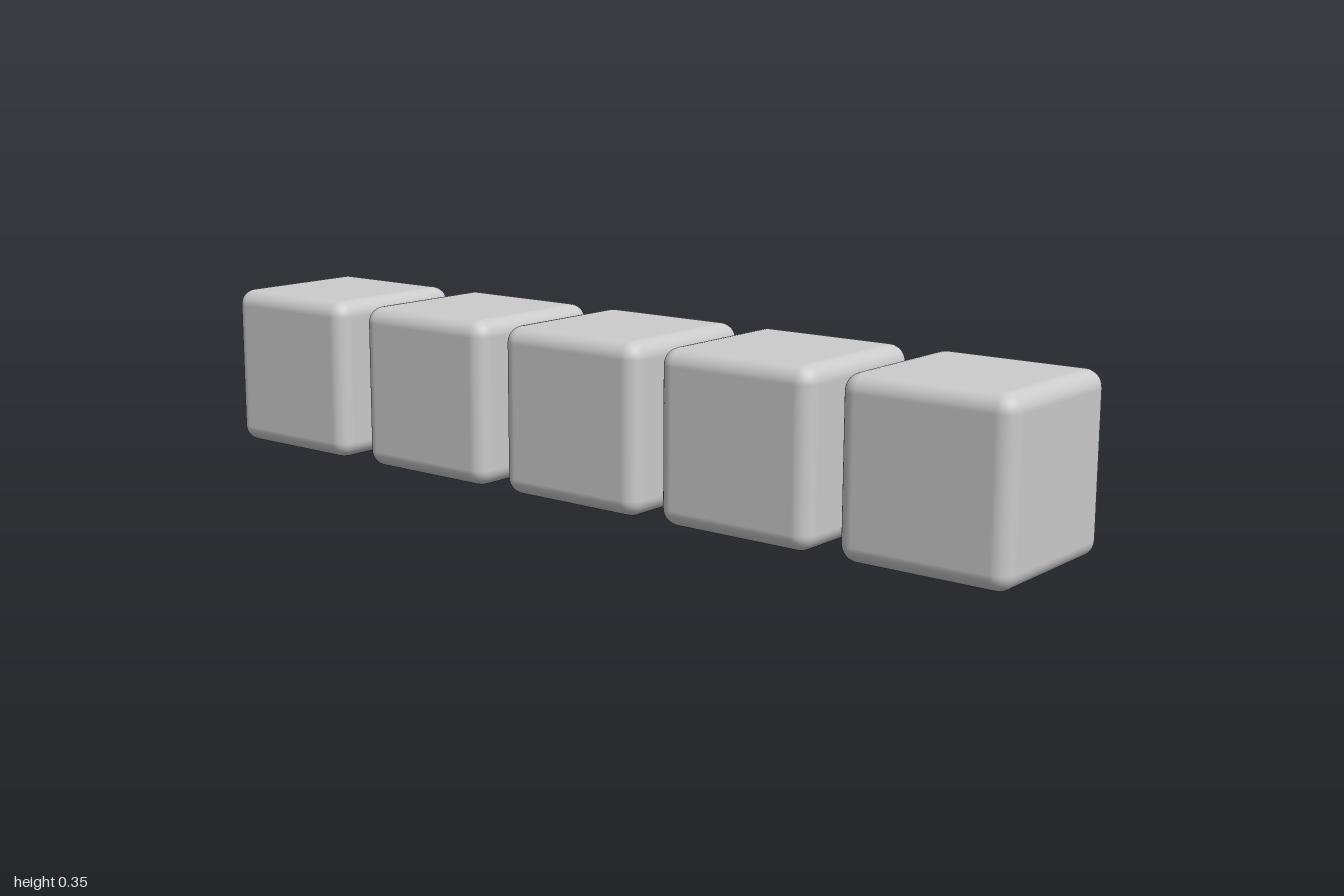
import * as THREE from 'three';
import { RoundedBoxGeometry } from 'three/addons/geometries/RoundedBoxGeometry.js';

const SIZE = 0.352;
const RADIUS = 0.035;
// Slightly uneven spacing along the row, from right (-x) to left (+x)
const CENTRES = [-0.824, -0.402, 0.006, 0.412, 0.824];

export function createModel() {
  const model = new THREE.Group();
  model.name = 'cubeRow';

  const material = new THREE.MeshStandardMaterial({ color: 0xcccccc });
  const geometry = new RoundedBoxGeometry(SIZE, SIZE, SIZE, 4, RADIUS);

  // Row of identical rounded cubes resting on the ground
  CENTRES.forEach((x, i) => {
    const cube = new THREE.Mesh(geometry, material);
    cube.name = `roundedCube${i + 1}`;
    cube.position.set(x, SIZE / 2, 0);
    model.add(cube);
  });

  return model;
}
